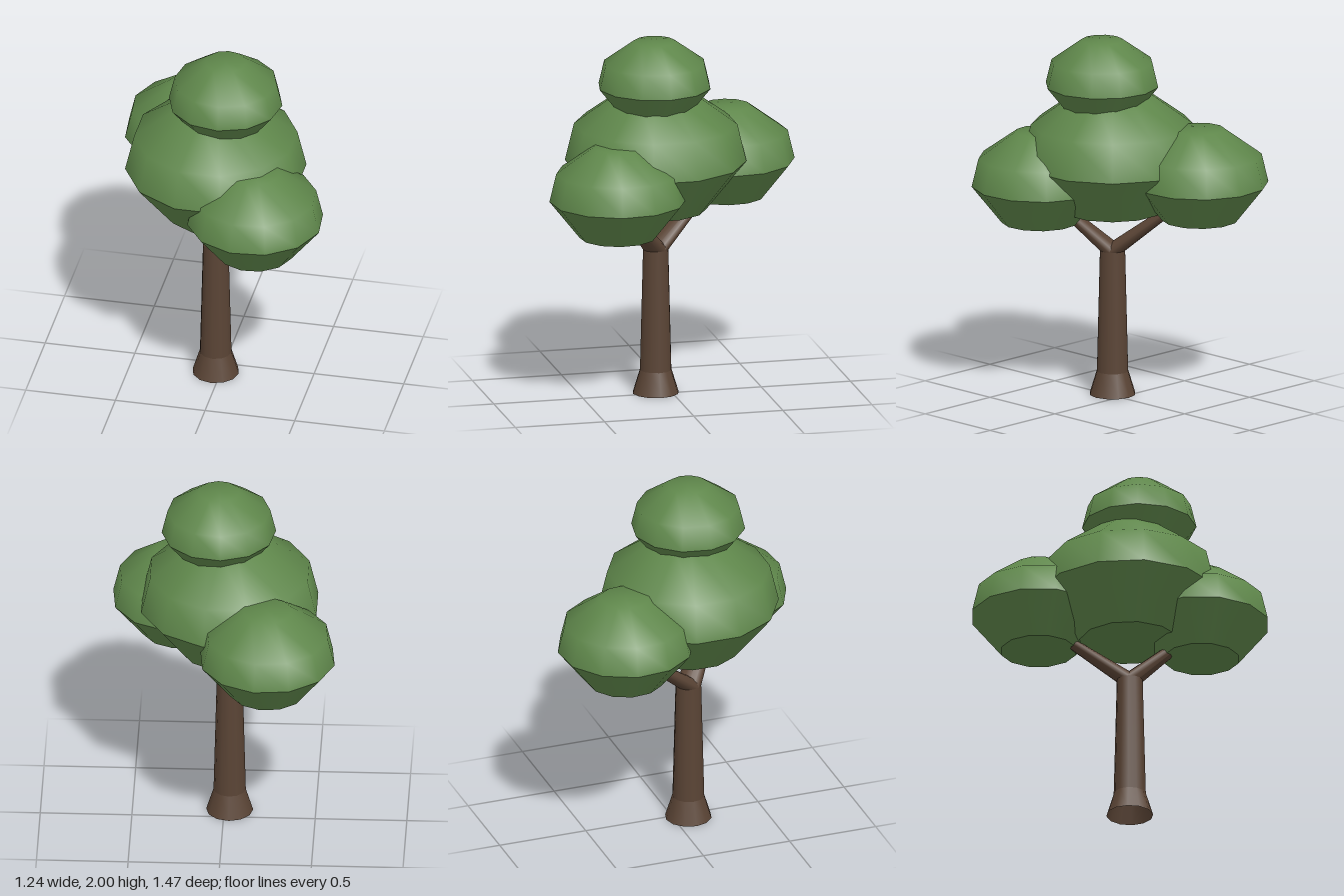
import * as THREE from 'three';

const SIDES = 12;
const TRUNK = { x: -0.03, z: 0.085 };

export function createModel() {
  const tree = new THREE.Group();
  tree.name = 'tree';
  const leafGreen = new THREE.MeshStandardMaterial({ name: 'leafGreen', color: 0x5f874b });
  const barkBrown = new THREE.MeshStandardMaterial({ name: 'barkBrown', color: 0x5a4435, side: THREE.DoubleSide });

  const add = (parent, name, geometry, material) => {
    const mesh = new THREE.Mesh(geometry, material);
    mesh.name = name;
    parent.add(mesh);
    return mesh;
  };
  const lathe = (points) =>
    new THREE.LatheGeometry(points.map(([r, y]) => new THREE.Vector2(r, y)), SIDES);

  // Trunk: flared foot and tapering stem, open at the ground
  const trunk = new THREE.Group();
  trunk.name = 'trunk';
  trunk.position.set(TRUNK.x, 0, TRUNK.z);
  tree.add(trunk);
  add(trunk, 'trunkFoot', lathe([[0.128, 0], [0.088, 0.13]]), barkBrown);
  add(trunk, 'trunkStem', lathe([[0.088, 0.13], [0.071, 0.81]]), barkBrown);

  // Branches: cones sheared sideways, so they share the ring at the trunk top
  const addBranch = (name, dx, dz, height) => {
    const geometry = new THREE.CylinderGeometry(0.03, 0.071, height, SIDES, 1, true);
    geometry.translate(0, height / 2, 0);
    const p = geometry.attributes.position;
    for (let i = 0; i < p.count; i++) {
      const t = p.getY(i) / height;
      p.setX(i, p.getX(i) + dx * t);
      p.setZ(i, p.getZ(i) + dz * t);
    }
    geometry.computeVertexNormals();
    add(trunk, name, geometry, barkBrown).position.y = 0.81;
  };
  addBranch('frontBranch', 0.28, 0.28, 0.35);
  addBranch('backBranch', -0.23, -0.45, 0.39);

  // Foliage: rounded dome, tapering skirt and flat base; y is the widest level
  const addFoliage = (name, r, x, y, z, turn) => {
    const clump = new THREE.Group();
    clump.name = name;
    clump.position.set(x, y, z);
    clump.rotation.y = THREE.MathUtils.degToRad(turn);
    clump.scale.setScalar(r);
    tree.add(clump);
    add(clump, 'dome', lathe([[1, 0], [0.9, 0.42], [0.36, 0.81], [0, 0.81]]), leafGreen);
    add(clump, 'skirt', lathe([[0.56, -0.55], [1, 0]]), leafGreen);
    add(clump, 'base', lathe([[0, -0.55], [0.56, -0.55]]), leafGreen);
  };
  addFoliage('middleFoliage', 0.495, -0.03, 1.31, 0.085, -15);
  addFoliage('topFoliage', 0.312, 0.03, 1.748, 0.106, 4);
  addFoliage('frontFoliage', 0.374, 0.25, 1.175, 0.365, -9.4);
  addFoliage('backFoliage', 0.374, -0.255, 1.23, -0.365, -9.4);

  return tree;
}
